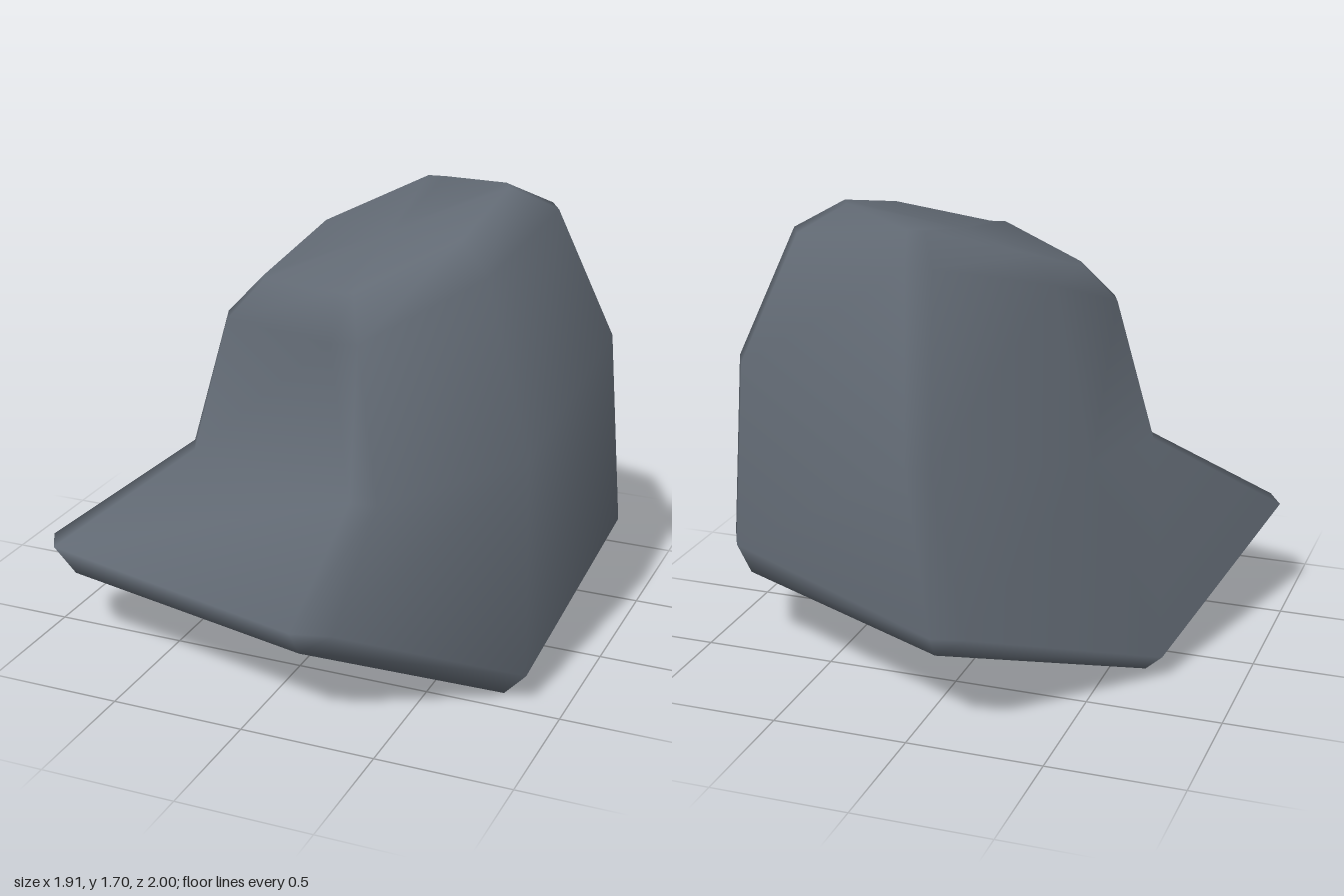
import * as THREE from 'three';

// Six-cornered rings, bottom to top. Corners run: back, back-left, left, front, front-right, right.
const RINGS = [
  { bevel: 0.06, pts: [[-0.13, 0.3, -0.93], [0.89, 0.3, -0.43], [0.76, 0, 0.4], [0.25, 0.3, 0.94], [-0.89, 0.3, 0.66], [-0.63, 0, -0.17]] },
  { bevel: 0.085, pts: [[-0.17, 0.41, -1.045], [0.96, 0.41, -0.43], [0.86, 0.12, 0.46], [0.27, 0.41, 1.02], [-0.98, 0.41, 0.69], [-0.71, 0.09, -0.24]] },
  { bevel: 0.06, pts: [[0, 0.93, -0.86], [0.89, 1.13, -0.44], [0.8, 0.88, 0.33], [0.36, 0.81, 0.78], [-0.53, 0.74, 0.35], [-0.42, 0.8, -0.2]] },
  { bevel: 0.06, pts: [[0.09, 1.57, -0.6], [0.69, 1.61, -0.36], [0.62, 1.51, 0.28], [0.25, 1.34, 0.69], [-0.38, 1.27, 0.35], [-0.25, 1.43, -0.13]] },
  { bevel: 0.04, pts: [[0.17, 1.66, -0.42], [0.53, 1.7, -0.24], [0.49, 1.61, 0.2], [0.2, 1.48, 0.56], [-0.25, 1.41, 0.28], [-0.15, 1.53, -0.1]] },
];
const BLUNT = [2, 5]; // side corners that stay single points

// Split the other corners into two level points so the upright edges get a soft bevel.
function bevelRing({ pts, bevel }) {
  const v = pts.map((p) => new THREE.Vector3(...p));
  const toward = (a, b) => a.clone().add(b.clone().sub(a).setY(0).setLength(bevel));
  return v.flatMap((p, i) =>
    BLUNT.includes(i) ? [p] : [toward(p, v[(i + 5) % 6]), toward(p, v[(i + 1) % 6])]);
}

function rockGeometry() {
  const N = 10;
  const points = RINGS.flatMap(bevelRing);
  const index = [];

  // Walls between neighbouring rings
  for (let r = 0; r < RINGS.length - 1; r++) {
    for (let i = 0; i < N; i++) {
      const j = (i + 1) % N;
      const a = r * N + j, b = r * N + i, c = b + N, d = a + N;
      index.push(a, b, c, a, c, d);
    }
  }

  // Sloping crown, fanned from its middle
  const top = (RINGS.length - 1) * N;
  const middle = new THREE.Vector3();
  for (let i = 0; i < N; i++) middle.addScaledVector(points[top + i], 1 / N);
  const centre = points.push(middle) - 1;
  for (let i = 0; i < N; i++) index.push(centre, top + ((i + 1) % N), top + i);

  // Underside: two slopes meeting on a ridge that rests on the ground
  for (const ids of [[4, 5, 6, 7, 8, 9], [9, 0, 1, 2, 3, 4]]) {
    for (let i = 1; i < ids.length - 1; i++) index.push(ids[0], ids[i], ids[i + 1]);
  }

  const geometry = new THREE.BufferGeometry().setFromPoints(points);
  geometry.setIndex(index);
  geometry.computeVertexNormals();
  return geometry;
}

export function createModel() {
  const stone = new THREE.MeshStandardMaterial({ color: 0x626a74 });
  stone.name = 'slateStone';
  const rock = new THREE.Mesh(rockGeometry(), stone);
  rock.name = 'rock';
  const group = new THREE.Group();
  group.name = 'boulder';
  group.add(rock);
  return group;
}
